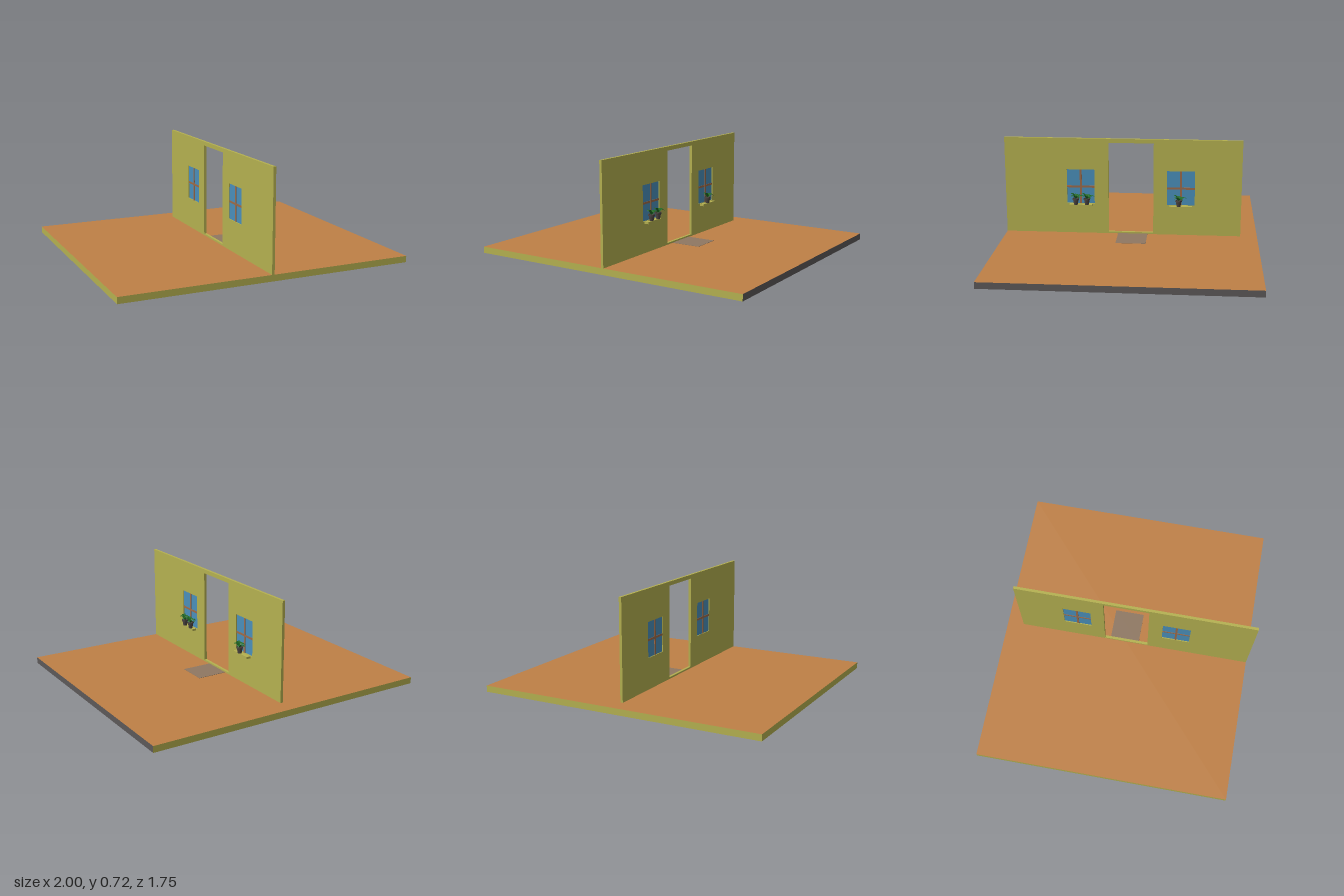
import * as THREE from 'three';

const mat = (name, color, side = THREE.FrontSide) => {
  const m = new THREE.MeshStandardMaterial({ color, side });
  m.name = name;
  return m;
};

const olive = mat('olive paint', 0xb5b150);
const orange = mat('orange floor', 0xbf8046);
const grey = mat('grey edge', 0x5c5858);
const matGrey = mat('doormat taupe', 0x8f7862);
const blue = mat('window glass', 0x4a8fbb);
const brown = mat('window bar brown', 0x9c6b4a);
const potDark = mat('pot dark', 0x4c4542);
const green = mat('leaf green', 0x1f6b24, THREE.DoubleSide);

function add(parent, name, geometry, material, x = 0, y = 0, z = 0) {
  const mesh = new THREE.Mesh(geometry, material);
  mesh.name = name;
  mesh.position.set(x, y, z);
  parent.add(mesh);
  return mesh;
}

// Box given by its lower and upper corners
function block(parent, name, material, x0, x1, y0, y1, z0, z1) {
  return add(parent, name, new THREE.BoxGeometry(x1 - x0, y1 - y0, z1 - z0), material,
    (x0 + x1) / 2, (y0 + y1) / 2, (z0 + z1) / 2);
}

const FLOOR = 0.043, WALL = 0.018;
const WIN = { half: 0.096, y0: 0.258, y1: 0.5 };
const windowZ = [0.349, -0.344];

// Rectangular outline in the wall plane (horizontal axis is -z)
function rect(PathType, z0, z1, y0, y1) {
  const p = new PathType();
  p.moveTo(-z1, y0);
  p.lineTo(-z0, y0);
  p.lineTo(-z0, y1);
  p.lineTo(-z1, y1);
  p.closePath();
  return p;
}

// Pointed leaf, folded along its midrib and arching outwards along +x
function leafGeometry(length, width, rise, droop) {
  const steps = 5, pos = [], index = [];
  for (let i = 0; i <= steps; i++) {
    const t = i / steps;
    const w = width * 0.5 * Math.sin(Math.PI * Math.pow(t, 0.75)) + 0.001;
    const y = rise * Math.sin(t * Math.PI * 0.6) - droop * t * t;
    pos.push(length * t, y + w * 0.3, -w, length * t, y, 0, length * t, y + w * 0.3, w);
    if (i < steps) {
      for (let k = 0; k < 2; k++) {
        const a = i * 3 + k;
        index.push(a, a + 1, a + 3, a + 1, a + 4, a + 3);
      }
    }
  }
  const g = new THREE.BufferGeometry();
  g.setAttribute('position', new THREE.Float32BufferAttribute(pos, 3));
  g.setIndex(index);
  const flat = g.toNonIndexed();
  flat.computeVertexNormals();
  return flat;
}

function pottedPlant() {
  const plant = new THREE.Group();
  plant.name = 'pottedPlant';
  // Tapered pot with a rim and a hollow mouth
  const profile = [[0, 0], [0.013, 0], [0.019, 0.034], [0.023, 0.035], [0.023, 0.045],
    [0.019, 0.045], [0.018, 0.038], [0, 0.038]].map(([r, y]) => new THREE.Vector2(r, y));
  const pot = new THREE.LatheGeometry(profile, 12).toNonIndexed();
  pot.computeVertexNormals();
  add(plant, 'pot', pot, potDark);
  // Leaves: turn about y, length, width, rise, droop
  const leaves = [
    [90, 0.056, 0.028, 0.026, 0.006],
    [40, 0.044, 0.026, 0.034, 0.02],
    [140, 0.042, 0.026, 0.034, 0.02],
    [-40, 0.042, 0.026, 0.036, 0.014],
    [-95, 0.038, 0.028, 0.042, 0.01],
    [-150, 0.034, 0.024, 0.036, 0.014],
  ];
  for (const [turn, length, width, rise, droop] of leaves) {
    const leaf = add(plant, 'leaf', leafGeometry(length, width, rise, droop), green, 0, 0.04, 0);
    leaf.rotation.y = THREE.MathUtils.degToRad(turn);
  }
  return plant;
}

export function createModel() {
  const model = new THREE.Group();
  model.name = 'wallOnFloor';

  // Floor slab: orange above and below, grey on +x, olive on the other edges
  block(model, 'floor', [grey, olive, orange, orange, olive, olive],
    -1, 1, 0, FLOOR, -0.875, 0.875);

  // Wall with a doorway and two window openings
  const shape = rect(THREE.Shape, -0.76, 0.875, FLOOR, 0.72);
  shape.holes.push(rect(THREE.Path, -0.155, 0.155, 0.055, 0.692));
  for (const z of windowZ) {
    shape.holes.push(rect(THREE.Path, z - WIN.half, z + WIN.half, WIN.y0, WIN.y1));
  }
  const wall = new THREE.ExtrudeGeometry(shape, { depth: WALL, bevelEnabled: false });
  wall.rotateY(Math.PI / 2);
  add(model, 'wall', wall, olive);

  // Windows: glass, crossing bars and an outer sill
  for (const z of windowZ) {
    const win = new THREE.Group();
    win.name = 'window';
    model.add(win);
    block(win, 'glass', blue, 0.006, 0.012, WIN.y0, WIN.y1, z - WIN.half, z + WIN.half);
    block(win, 'uprightBar', brown, 0.002, 0.016, WIN.y0, WIN.y1, z - 0.007, z + 0.007);
    block(win, 'crossBar', brown, 0.003, 0.015, 0.37, 0.384, z - WIN.half, z + WIN.half);
    block(win, 'sill', olive, WALL - 0.004, 0.05, 0.242, 0.256, z - 0.079, z + 0.079);
  }

  // Plants standing on the sills
  for (const z of [0.382, 0.305, -0.33]) {
    const plant = pottedPlant();
    plant.position.set(0.043, 0.256, z);
    model.add(plant);
  }

  // Doormat
  block(model, 'doormat', matGrey, WALL, 0.226, FLOOR, FLOOR + 0.002, -0.115, 0.09);

  return model;
}
